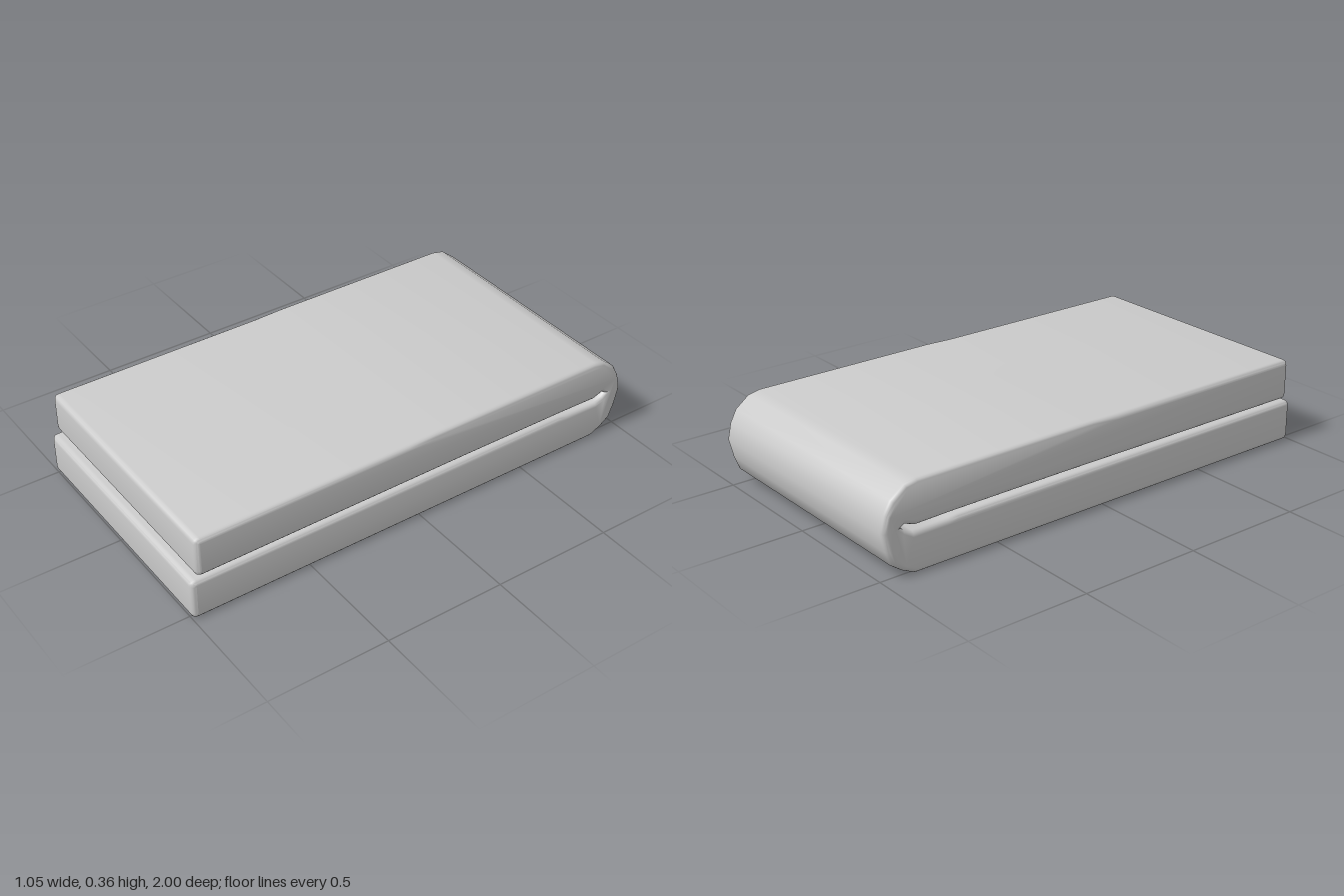
import * as THREE from 'three';
import { toCreasedNormals } from 'three/addons/utils/BufferGeometryUtils.js';

const WIDTH = 1.054;
const BEVEL = 0.02;

// Side profile of the folded pad: x runs towards the back, y up.
function foldProfile() {
  const s = new THREE.Shape();
  const line = (points) => points.forEach(([x, y]) => s.lineTo(x, y));
  const r = 0.024;

  // underside, then around the outside of the fold
  s.moveTo(-1 + r, 0.003);
  line([
    [0.4, 0.003], [0.865, 0.003], [0.915, 0.026], [0.96, 0.058], [0.982, 0.115],
    [1, 0.19], [0.985, 0.255], [0.958, 0.305], [0.9, 0.35], [0.85, 0.36],
  ]);
  // top surface and front end of the upper layer
  line([[0.06, 0.36], [-0.06, 0.356], [-0.975 + r, 0.355]]);
  s.quadraticCurveTo(-0.975, 0.355, -0.975, 0.355 - r);
  s.lineTo(-0.975, 0.187 + r);
  s.quadraticCurveTo(-0.975, 0.187, -0.975 + r, 0.187);
  // narrow gap, with a small hooked pocket inside the fold
  line([
    [0.2, 0.191], [0.7, 0.189], [0.86, 0.186], [0.885, 0.195], [0.905, 0.202],
    [0.92, 0.193], [0.905, 0.18], [0.87, 0.166], [0.72, 0.169], [0.68, 0.174],
  ]);
  // front end of the lower layer
  s.lineTo(-1 + r, 0.174);
  s.quadraticCurveTo(-1, 0.174, -1, 0.174 - r);
  s.lineTo(-1, 0.003 + r);
  s.quadraticCurveTo(-1, 0.003, -1 + r, 0.003);
  return s;
}

export function createModel() {
  const group = new THREE.Group();
  group.name = 'foldedMattress';

  // profile swept across the width, with rounded side edges
  const depth = WIDTH - 2 * BEVEL;
  const geometry = new THREE.ExtrudeGeometry(foldProfile(), {
    depth,
    curveSegments: 4,
    bevelEnabled: true,
    bevelThickness: BEVEL,
    bevelSize: BEVEL,
    bevelOffset: -BEVEL,
    bevelSegments: 4,
  });
  geometry.translate(0, 0, -depth / 2);
  geometry.rotateY(Math.PI / 2);

  const material = new THREE.MeshStandardMaterial({ color: 0xcccccc });
  const pad = new THREE.Mesh(toCreasedNormals(geometry, 0.7), material);
  pad.name = 'foldedPad';
  group.add(pad);
  return group;
}
